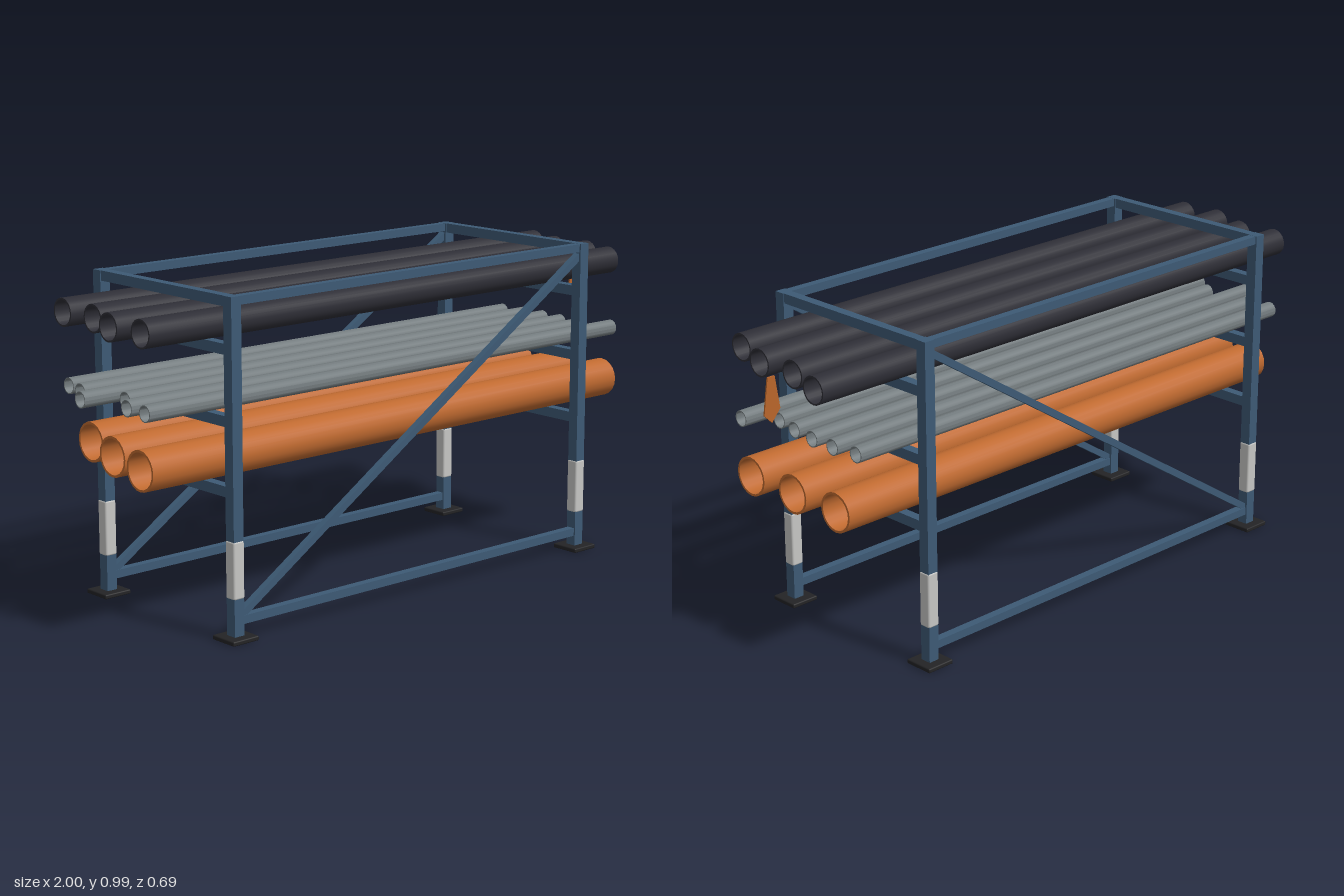
import * as THREE from 'three';
import { toCreasedNormals } from 'three/addons/utils/BufferGeometryUtils.js';
import { RoundedBoxGeometry } from 'three/addons/geometries/RoundedBoxGeometry.js';

export function createModel() {
  const rack = new THREE.Group();
  rack.name = 'pipeRack';

  const mat = (name, color, side = THREE.FrontSide) => {
    const m = new THREE.MeshStandardMaterial({ color, side });
    m.name = name;
    return m;
  };
  const blueSteel = mat('blueSteel', 0x3d5a75);
  const rubber = mat('blackRubber', 0x232325);
  const sleeveWhite = mat('sleeveWhite', 0xc6c6c4);
  const blackPlastic = mat('blackPlastic', 0x2e2e36);
  const greyPlastic = mat('greyPlastic', 0x757d80);
  const orangePlastic = mat('orangePlastic', 0xc06a30);
  const tagOrange = mat('tagOrange', 0xb9652a, THREE.DoubleSide);

  const add = (name, geometry, material, x, y, z) => {
    const mesh = new THREE.Mesh(geometry, material);
    mesh.name = name;
    mesh.position.set(x, y, z);
    rack.add(mesh);
    return mesh;
  };
  const box = (name, w, h, d, x, y, z) =>
    add(name, new THREE.BoxGeometry(w, h, d), blueSteel, x, y, z);

  const endX = [-0.73, 0.67], sideZ = [-0.3, 0.3];
  const midX = -0.03, span = 1.4;

  // Posts with foot plates and protective sleeves
  for (const x of endX) for (const z of sideZ) {
    box('post', 0.035, 0.972, 0.035, x, 0.499, z);
    add('footPlate', new RoundedBoxGeometry(0.093, 0.014, 0.095, 2, 0.004), rubber, x, 0.007, z);
    add('sleeve', new RoundedBoxGeometry(0.039, 0.17, 0.039, 2, 0.006), sleeveWhite, x, 0.207, z);
  }

  // End frames: top rail and three shelf bearers
  for (const x of endX) {
    box('endTopRail', 0.03, 0.03, 0.57, x, 0.97, 0);
    for (const y of [0.835, 0.631, 0.43]) box('shelfBearer', 0.03, 0.031, 0.57, x, y, 0);
  }

  // Long rails and diagonal braces on both sides
  const braceRun = 1.38, braceRise = 0.88;
  for (const z of sideZ) {
    box('topRail', span, 0.025, 0.026, midX, 0.972, z);
    box('bottomRail', span, 0.025, 0.026, midX, 0.058, z);
    box('diagonalBrace', Math.hypot(braceRun, braceRise), 0.021, 0.021, midX, 0.507, z)
      .rotation.z = Math.atan2(braceRise, braceRun);
  }

  // Hollow pipe lying along x, open right through
  const pipe = (name, material, radius, wall, sides, y, [z, x0, x1]) => {
    const h = (x1 - x0) / 2, inner = radius - wall;
    const profile = [[inner, -h], [radius, -h], [radius, h], [inner, h], [inner, -h]]
      .map(([r, t]) => new THREE.Vector2(r, t));
    const geometry = toCreasedNormals(new THREE.LatheGeometry(profile, sides), 0.6);
    geometry.rotateZ(-Math.PI / 2);
    add(name, geometry, material, (x0 + x1) / 2, y, z);
  };

  // Each pipe: z, left end, right end
  [[0.204, -0.973, 0.909], [0.068, -0.98, 0.955], [-0.068, -0.933, 0.95], [-0.204, -0.939, 0.992]]
    .forEach(p => pipe('blackPipe', blackPlastic, 0.042, 0.005, 20, 0.896, p));

  [[0.219, -0.975, 0.91], [0.131, -0.97, 0.842], [0.044, -0.91, 0.86],
    [-0.044, -1, 0.87], [-0.131, -0.937, 0.87], [-0.218, -0.914, 0.86]]
    .forEach(p => pipe('greyPipe', greyPlastic, 0.0245, 0.003, 16, 0.677, p));

  [[0.184, -0.968, 0.91], [0, -0.925, 0.91], [-0.184, -0.865, 0.91]]
    .forEach(p => pipe('orangePipe', orangePlastic, 0.06, 0.007, 20, 0.509, p));

  // Warning rag hanging beside the overhanging pipes
  const rag = new THREE.Shape([[0.957, 0.877], [0.982, 0.877], [0.998, 0.768], [0.972, 0.742], [0.941, 0.778]]
    .map(([x, y]) => new THREE.Vector2(x, y)));
  add('warningRag', new THREE.ExtrudeGeometry(rag, { depth: 0.005, bevelEnabled: false }), tagOrange, 0, 0, 0);

  return rack;
}
